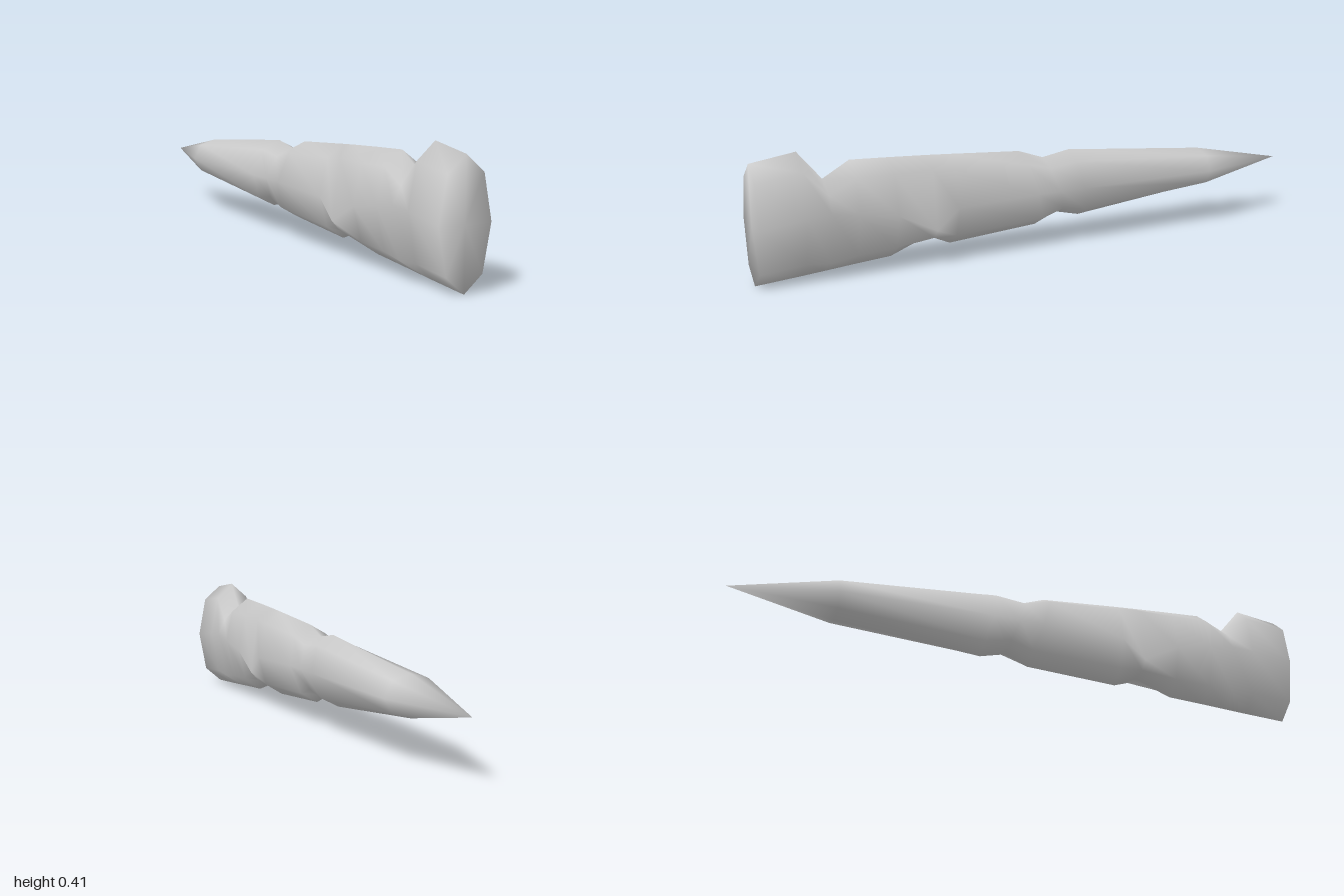
import * as THREE from 'three';

// Rings along the shaft: [z of top, y of top, z of bottom, y of bottom, y of side corner]
const RINGS = [
  [1, 0.393, 1, 0.003, 0.2],
  [0.85, 0.415, 0.85, 0.013, 0.22],
  [0.77, 0.32, 0.77, 0.019, 0.225],   // large upper notch
  [0.68, 0.371, 0.68, 0.026, 0.21],
  [0.55, 0.365, 0.55, 0.035, 0.19],
  [0.42, 0.358, 0.42, 0.085, 0.124],  // large lower notch
  [0.34, 0.353, 0.34, 0.05, 0.19],
  [0.08, 0.335, 0.02, 0.072, 0.2],
  [-0.01, 0.304, -0.06, 0.106, 0.2],  // small upper and lower notches
  [-0.11, 0.321, -0.15, 0.085, 0.2],
  [-0.65, 0.27, -0.65, 0.135, 0.2],
];
const SIDES = 8;

// Eight corners of one ring, anticlockwise seen from the front
function ringCorners([zt, yt, zb, yb, ys]) {
  const inset = 0.135 * (yt - yb);
  const zm = (zt + zb) / 2;
  const upper = [0.061, Math.max(yt - inset, ys + 0.03), zt];
  const lower = [0.061, Math.min(yb + inset, ys - 0.03), zb];
  const half = [upper, [0.088, ys, zm], lower];
  const mirrored = half.map(([x, y, z]) => [-x, y, z]);
  return [[0, yt, zt], ...mirrored, [0, yb, zb], ...half.reverse()];
}

function shaftGeometry() {
  const points = RINGS.flatMap(ringCorners);
  const tip = points.push([0, 0.2, -1]) - 1;
  const butt = points.push([0, 0.2, 1]) - 1;
  const index = [];
  const last = (RINGS.length - 1) * SIDES;
  for (let i = 0; i < SIDES; i++) {
    const j = (i + 1) % SIDES;
    for (let r = 0; r < last; r += SIDES) {
      const a = r + i, b = r + j, c = a + SIDES, d = b + SIDES;
      index.push(a, c, b, b, c, d);
    }
    index.push(last + i, tip, last + j); // sharpened point
    index.push(butt, i, j);              // flat butt end
  }
  const geometry = new THREE.BufferGeometry();
  geometry.setAttribute('position', new THREE.Float32BufferAttribute(points.flat(), 3));
  geometry.setIndex(index);
  geometry.computeVertexNormals();
  return geometry;
}

export function createModel() {
  const group = new THREE.Group();
  group.name = 'woodenStake';
  const shaft = new THREE.Mesh(
    shaftGeometry(),
    new THREE.MeshStandardMaterial({ color: 0xcccccc })
  );
  shaft.name = 'notchedShaft';
  group.add(shaft);
  return group;
}
